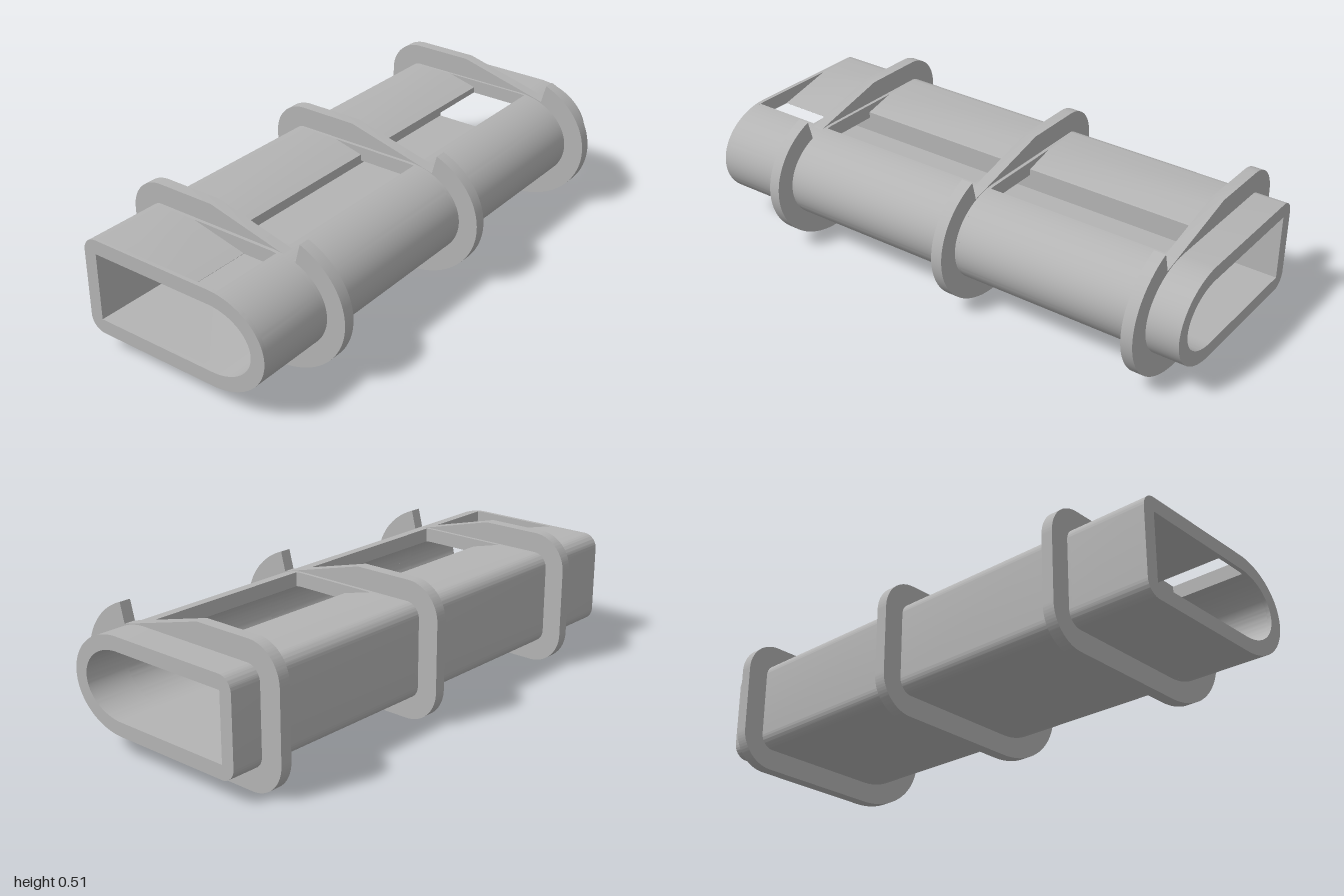
import * as THREE from 'three';
import { toCreasedNormals } from 'three/addons/utils/BufferGeometryUtils.js';

const CX = 0.16; // centre of the rounded right-hand end
const CY = 0.258;

// Closed outline: rounded left corners, half-ellipse at the right
function outline(ctor, left, rx, ry, r) {
  const s = new ctor();
  s.moveTo(left + r, CY - ry);
  s.lineTo(CX, CY - ry);
  s.absellipse(CX, CY, rx, ry, -Math.PI / 2, Math.PI / 2, false);
  s.lineTo(left + r, CY + ry);
  if (r > 0) s.absarc(left + r, CY + ry - r, r, Math.PI / 2, Math.PI, false);
  s.lineTo(left, CY - ry + r);
  if (r > 0) s.absarc(left + r, CY - ry + r, r, Math.PI, Math.PI * 1.5, false);
  s.closePath();
  return s;
}

const OUT = { left: -0.385, rx: 0.225, ry: 0.181, r: 0.055 };
const IN = { left: -0.333, rx: 0.17, ry: 0.127 };

// Full wall section
function closedSection() {
  const s = outline(THREE.Shape, OUT.left, OUT.rx, OUT.ry, OUT.r);
  s.holes.push(outline(THREE.Path, IN.left, IN.rx, IN.ry, 0));
  return s;
}

// Wall section with a window in the top, ramped down on its left side
function openSection(holeLeft) {
  const edge = 0.19;
  const top = CY + OUT.ry, ceiling = CY + IN.ry;
  const tOut = Math.acos((edge - CX) / OUT.rx), tIn = Math.acos((edge - CX) / IN.rx);
  const { left, rx, ry, r } = OUT;
  const s = new THREE.Shape();
  s.moveTo(edge, CY + ry * Math.sin(tOut));
  s.absellipse(CX, CY, rx, ry, tOut, -Math.PI / 2, true);
  s.lineTo(left + r, CY - ry);
  s.absarc(left + r, CY - ry + r, r, -Math.PI / 2, -Math.PI, true);
  s.lineTo(left, top - r);
  s.absarc(left + r, top - r, r, Math.PI, Math.PI / 2, true);
  s.lineTo(-0.17, top);
  s.lineTo(holeLeft, Math.max(ceiling + 0.001, top - 0.25 * (holeLeft + 0.17)));
  s.lineTo(holeLeft, ceiling);
  s.lineTo(IN.left, ceiling);
  s.lineTo(IN.left, CY - IN.ry);
  s.lineTo(CX, CY - IN.ry);
  s.absellipse(CX, CY, IN.rx, IN.ry, -Math.PI / 2, tIn, false);
  s.closePath();
  return s;
}

// Outer collar with a sloping top and a notch
function collarSection() {
  const rx = 0.296, ry = 0.257, left = -0.46, r = 0.13, h = 0.514;
  const s = new THREE.Shape();
  s.moveTo(left + r, 0);
  s.lineTo(CX, 0);
  s.absellipse(CX, h / 2, rx, ry, -Math.PI / 2, Math.acos((0.277 - CX) / rx), false);
  s.lineTo(0.258, 0.421);
  s.lineTo(-0.1, h);
  s.lineTo(left + r, h);
  s.absarc(left + r, h - r, r, Math.PI / 2, Math.PI, false);
  s.lineTo(left, r);
  s.absarc(left + r, r, r, Math.PI, Math.PI * 1.5, false);
  s.closePath();
  // buried inside the tube wall
  s.holes.push(outline(THREE.Path, -0.35, 0.19, 0.145, 0.02));
  return s;
}

function sweep(shape, z0, z1, tapered) {
  const g = new THREE.ExtrudeGeometry(shape, { depth: z1 - z0, bevelEnabled: false, curveSegments: 28 });
  g.translate(0, 0, z0);
  if (tapered) {
    // the tube narrows slightly toward the back
    const p = g.attributes.position;
    for (let i = 0; i < p.count; i++) {
      const k = 0.9875 + 0.0125 * p.getZ(i);
      p.setXY(i, p.getX(i) * k, CY + (p.getY(i) - CY) * k);
    }
  }
  return toCreasedNormals(g, 0.5);
}

export function createModel() {
  const model = new THREE.Group();
  model.name = 'slottedTube';
  const grey = new THREE.MeshStandardMaterial({ color: 0xb4b4b4 });
  grey.name = 'grey';

  const add = (name, geometry) => {
    const m = new THREE.Mesh(geometry, grey);
    m.name = name;
    model.add(m);
  };

  // Solid stretches of the tube
  [[-1, -0.825], [-0.13, -0.06], [0.635, 0.705], [0.985, 1]].forEach(([a, b], i) =>
    add(`tubeWall${i + 1}`, sweep(closedSection(), a, b, true)));

  // Stretches with a window in the top
  [[-0.825, -0.13, -0.05], [-0.06, 0.635, -0.05], [0.705, 0.985, 0.05]].forEach(([a, b, x], i) =>
    add(`windowedWall${i + 1}`, sweep(openSection(x), a, b, true)));

  // Collars
  [-0.857, -0.095, 0.67].forEach((z, i) =>
    add(`collar${i + 1}`, sweep(collarSection(), z - 0.022, z + 0.022, false)));

  return model;
}
